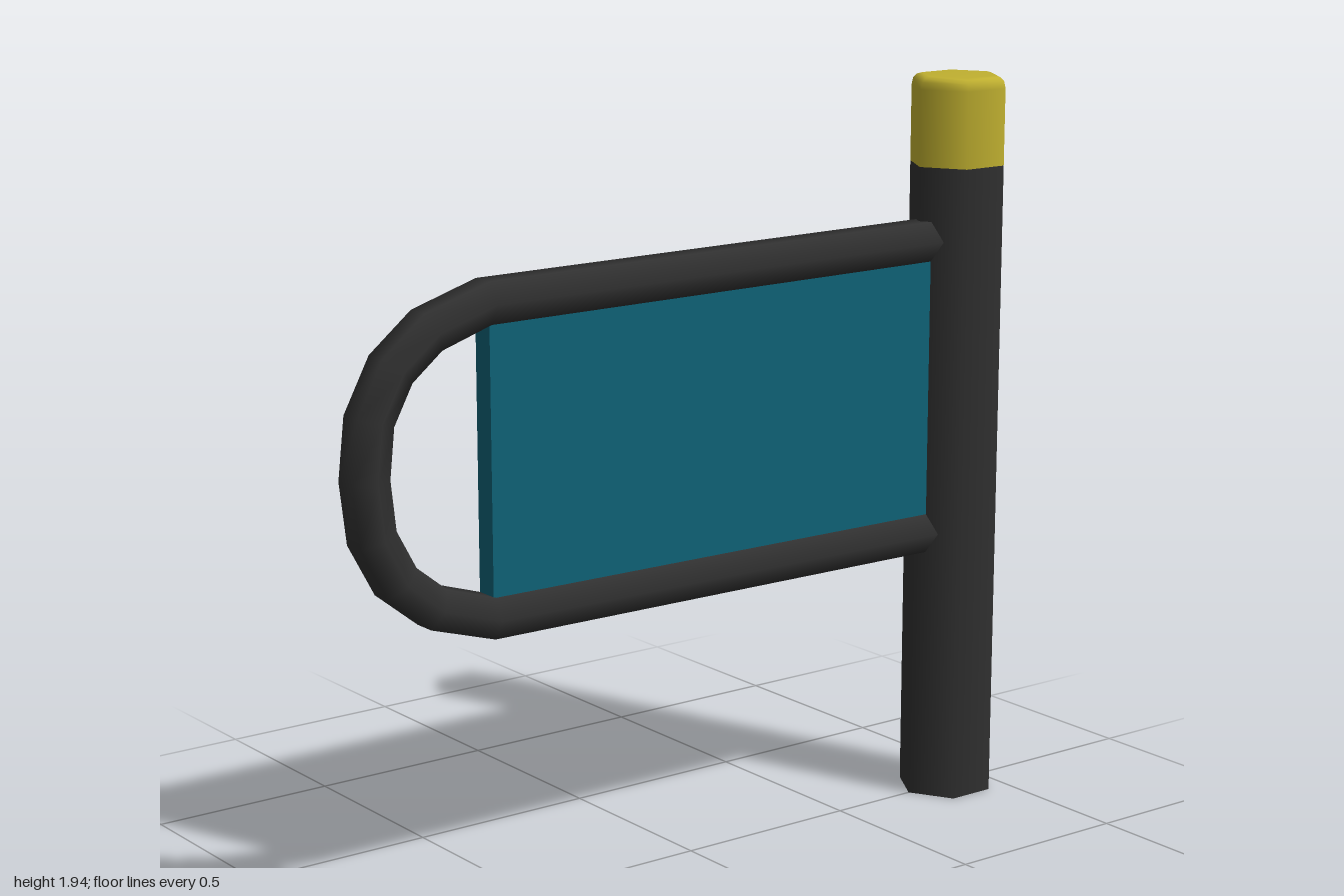
import * as THREE from 'three';

const black = new THREE.MeshStandardMaterial({ name: 'blackMetal', color: 0x303030 });
const teal = new THREE.MeshStandardMaterial({ name: 'tealPanel', color: 0x0f6176 });
const yellow = new THREE.MeshStandardMaterial({ name: 'yellowCap', color: 0xc0b030 });

const POST_X = 0.87, POST_R = 0.128, POST_H = 1.71;
const MID_Y = 1.125;

// Curve whose samples fall exactly on the given corner points
class Polyline extends THREE.Curve {
  constructor(points) {
    super();
    this.points = points;
  }
  getPoint(t, target = new THREE.Vector3()) {
    const n = this.points.length - 1;
    const f = Math.min(Math.max(t, 0), 1) * n;
    const i = Math.min(Math.floor(f), n - 1);
    return target.lerpVectors(this.points[i], this.points[i + 1], f - i);
  }
  getPointAt(u, target) { return this.getPoint(u, target); }
  getTangentAt(u, target) { return this.getTangent(u, target); }
}

export function createModel() {
  const model = new THREE.Group();
  const add = (name, geometry, material, x = 0, y = 0) => {
    const mesh = new THREE.Mesh(geometry, material);
    mesh.name = name;
    mesh.position.set(x, y, 0);
    model.add(mesh);
  };

  // Hexagonal post with corners towards +x and -x
  add('post', new THREE.CylinderGeometry(POST_R, POST_R, POST_H, 6, 1, false, Math.PI / 2),
    black, POST_X, POST_H / 2);

  // Cap with a softened top edge
  const capProfile = [
    [POST_R, POST_H], [POST_R, 1.91], [0.124, 1.928], [0.114, 1.938], [0.1, 1.942], [0, 1.942],
  ].map(([r, y]) => new THREE.Vector2(r, y));
  add('postCap', new THREE.LatheGeometry(capProfile, 6, Math.PI / 2), yellow, POST_X);

  // Bent rail: upper half of the path, mirrored for the lower half
  const upper = [[0.82, 0.392], [-0.61, 0.385], [-0.77, 0.335], [-0.87, 0.255], [-0.932, 0.14]];
  const path = [...upper, [-0.948, 0], ...upper.map(([x, y]) => [x, -y]).reverse()]
    .map(([x, y]) => new THREE.Vector3(x, MID_Y + y, 0));
  add('rail', new THREE.TubeGeometry(new Polyline(path), path.length - 1, 0.06, 6), black);

  // Panel held between the two straight runs of the rail
  add('panel', new THREE.BoxGeometry(1.41, 0.74, 0.06), teal, 0.09, MID_Y);

  return model;
}
